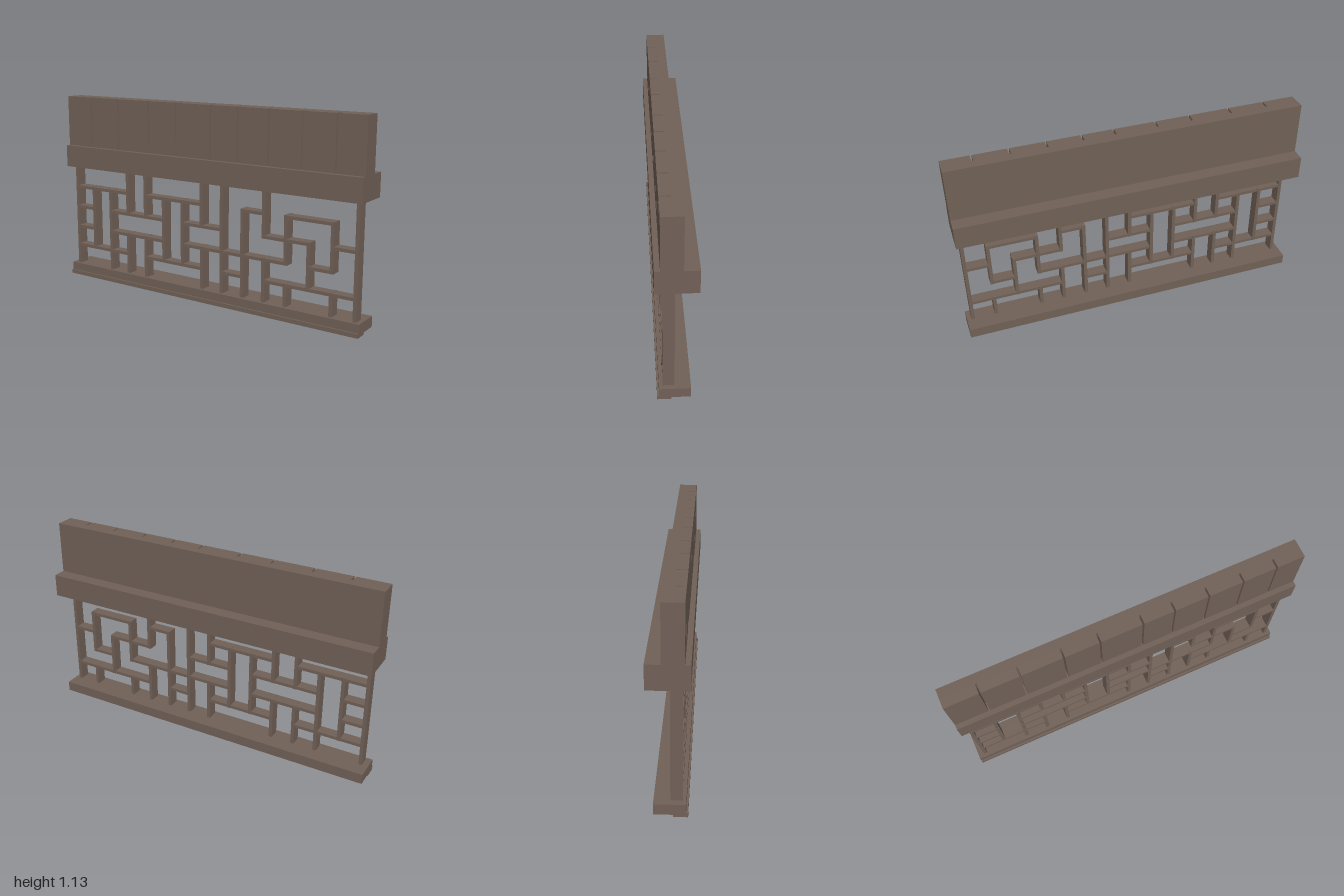
import * as THREE from 'three';

export function createModel() {
  const model = new THREE.Group();
  model.name = 'latticeFrieze';
  const wood = new THREE.MeshStandardMaterial({ color: 0x716157 });
  wood.name = 'brown wood';

  // Box given by its extents along each axis
  function block(parent, name, [x0, x1], [y0, y1], [z0, z1]) {
    const mesh = new THREE.Mesh(new THREE.BoxGeometry(x1 - x0, y1 - y0, z1 - z0), wood);
    mesh.name = name;
    mesh.position.set((x0 + x1) / 2, (y0 + y1) / 2, (z0 + z1) / 2);
    parent.add(mesh);
  }
  function group(name) {
    const g = new THREE.Group();
    g.name = name;
    model.add(g);
    return g;
  }

  // Bottom rail with its front lip, and the heavy beam
  const full = [-1, 1];
  block(model, 'bottomRail', full, [0.012, 0.072], [-0.075, 0.087]);
  block(model, 'bottomLip', full, [0, 0.024], [0.024, 0.097]);
  block(model, 'beam', full, [0.7, 0.832], [-0.107, 0.107]);

  // Upper panel: solid backing with boards separated by narrow grooves
  const panel = group('upperPanel');
  block(panel, 'panelBacking', full, [0.832, 1.135], [-0.03, 0.025]);
  const grooves = [-0.808, -0.595, -0.361, -0.163, 0.075, 0.252, 0.446, 0.644, 0.838];
  const edges = [-1.005, ...grooves, 1.005];
  for (let i = 0; i < edges.length - 1; i++) {
    block(panel, 'board', [edges[i] + 0.005, edges[i + 1] - 0.005], [0.832, 1.135], [0.025, 0.079]);
  }

  // Lattice on a grid of 15 columns and 6 levels
  const lattice = group('lattice');
  const colX = (i) => -0.955 + i * 0.1371;
  const levels = [0.072, 0.193, 0.314, 0.442, 0.57, 0.7];
  const half = 0.01;

  // For each column: the level spans its uprights cover
  const uprights = [
    [[0, 5]], [[1, 4]], [[0, 4]], [[0, 2], [3, 5]], [[0, 2], [3, 5]],
    [[1, 4]], [[1, 4]], [[0, 2], [3, 5]], [[0, 5]], [[0, 4]],
    [[0, 2], [3, 5]], [[0, 1], [2, 4]], [[1, 3]], [[0, 1], [2, 4]], [[0, 5]],
  ];
  uprights.forEach((spans, i) => {
    for (const [a, b] of spans) {
      const y0 = levels[a] - (a > 0 ? half : 0);
      const y1 = levels[b] + (b < 5 ? half : 0);
      block(lattice, 'upright', [colX(i) - half, colX(i) + half], [y0, y1], [0.008, 0.069]);
    }
  });

  // For each inner level: the column spans its crossbars cover
  const crossbars = {
    1: [[0, 3], [4, 7], [8, 9], [10, 14]],
    2: [[0, 1], [2, 5], [6, 11], [12, 13]],
    3: [[0, 1], [2, 5], [6, 8], [10, 12], [13, 14]],
    4: [[0, 3], [4, 7], [9, 10], [11, 13]],
  };
  for (const [level, spans] of Object.entries(crossbars)) {
    const y = levels[level];
    for (const [a, b] of spans) {
      block(lattice, 'crossbar', [colX(a) - 0.008, colX(b) + 0.008], [y - 0.009, y + 0.009], [0.009, 0.071]);
    }
  }
  return model;
}
